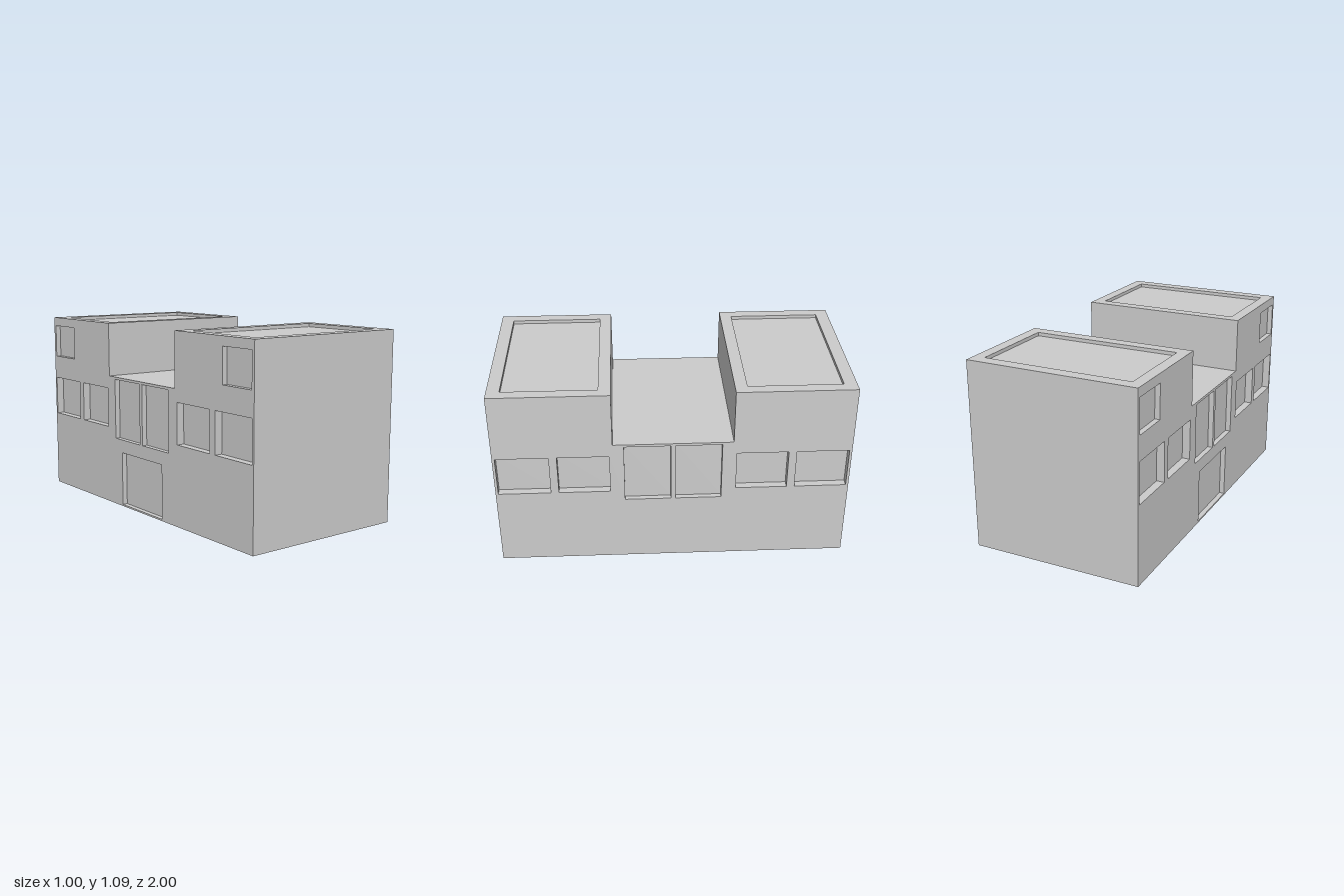
import * as THREE from 'three';
import { mergeGeometries } from 'three/addons/utils/BufferGeometryUtils.js';

const HALF_W = 0.498, HALF_L = 1, TALL = 1.09, LOW = 0.775, STEP = 0.335;
const material = new THREE.MeshStandardMaterial({ color: 0xcccccc });

const rect = (x0, x1, y0, y1) => [[x0, y0], [x1, y0], [x1, y1], [x0, y1]];
const toVectors = (points) => points.map(([x, y]) => new THREE.Vector2(x, y));

// Inward-facing box, open towards +z, that lines a recess
function recessLining([x0, x1, y0, y1, depth]) {
  const box = new THREE.BoxGeometry(x1 - x0, y1 - y0, depth);
  const index = Array.from(box.index.array);
  index.splice(24, 6); // remove the +z face
  for (let i = 0; i < index.length; i += 3) {
    [index[i + 1], index[i + 2]] = [index[i + 2], index[i + 1]];
  }
  box.setIndex(index);
  box.translate((x0 + x1) / 2, (y0 + y1) / 2, -depth / 2);
  const lining = box.toNonIndexed();
  lining.computeVertexNormals();
  return lining;
}

// Flat panel facing +z with lined recesses, each [x0, x1, y0, y1, depth]
function panel(name, outline, recesses = []) {
  const shape = new THREE.Shape(toVectors(outline));
  for (const [x0, x1, y0, y1] of recesses) {
    shape.holes.push(new THREE.Path(toVectors(rect(x0, x1, y0, y1).reverse())));
  }
  const face = new THREE.ShapeGeometry(shape).toNonIndexed();
  const mesh = new THREE.Mesh(mergeGeometries([face, ...recesses.map(recessLining)]), material);
  mesh.name = name;
  return mesh;
}

export function createModel() {
  const group = new THREE.Group();
  group.name = 'building';
  const place = (mesh, x, y, z, rx, ry) => {
    mesh.position.set(x, y, z);
    mesh.rotation.set(rx, ry, 0);
    group.add(mesh);
  };

  // Long side walls with a low middle between two towers
  const sideOutline = [
    [-HALF_L, 0], [HALF_L, 0], [HALF_L, TALL], [STEP, TALL],
    [STEP, LOW], [-STEP, LOW], [-STEP, TALL], [-HALF_L, TALL],
  ];
  const windows = [
    [-0.985, -0.69, 0.465, 0.7, 0.045],
    [-0.645, -0.355, 0.465, 0.7, 0.045],
    [-0.273, -0.013, 0.405, 0.76, 0.03],
    [0.013, 0.273, 0.405, 0.76, 0.03],
    [0.355, 0.645, 0.465, 0.7, 0.045],
    [0.69, 0.985, 0.465, 0.7, 0.045],
  ];
  const upperWindows = [
    [-0.98, -0.75, 0.84, 1.037, 0.03],
    [0.75, 0.98, 0.84, 1.037, 0.03],
  ];
  const door = [-0.205, 0.205, 0.01, 0.327, 0.03];
  place(panel('leftWall', sideOutline, windows), HALF_W, 0, 0, 0, Math.PI / 2);
  place(panel('rightWall', sideOutline, [...windows, ...upperWindows, door]),
    -HALF_W, 0, 0, 0, -Math.PI / 2);

  // Plain end walls, inner tower walls and sunken tower roofs
  const endOutline = rect(-HALF_W, HALF_W, 0, TALL);
  const innerOutline = rect(-HALF_W, HALF_W, LOW, TALL);
  const towerRoof = rect(-HALF_W, HALF_W, STEP, HALF_L);
  for (const [label, side] of [['front', 1], ['back', -1]]) {
    const turn = side > 0 ? 0 : Math.PI;
    place(panel(label + 'Wall', endOutline), 0, 0, side * HALF_L, 0, turn);
    place(panel(label + 'TowerInnerWall', innerOutline), 0, 0, side * STEP, 0, Math.PI - turn);
    const roof = panel(label + 'TowerRoof', towerRoof, [[-0.432, 0.432, 0.403, 0.928, 0.02]]);
    roof.geometry.rotateX(-Math.PI / 2);
    place(roof, 0, TALL, 0, 0, Math.PI - turn);
  }

  // Low middle roof and underside
  place(panel('middleRoof', rect(-HALF_W, HALF_W, -STEP, STEP)), 0, LOW, 0, -Math.PI / 2, 0);
  place(panel('base', rect(-HALF_W, HALF_W, -HALF_L, HALF_L)), 0, 0, 0, Math.PI / 2, 0);
  return group;
}
